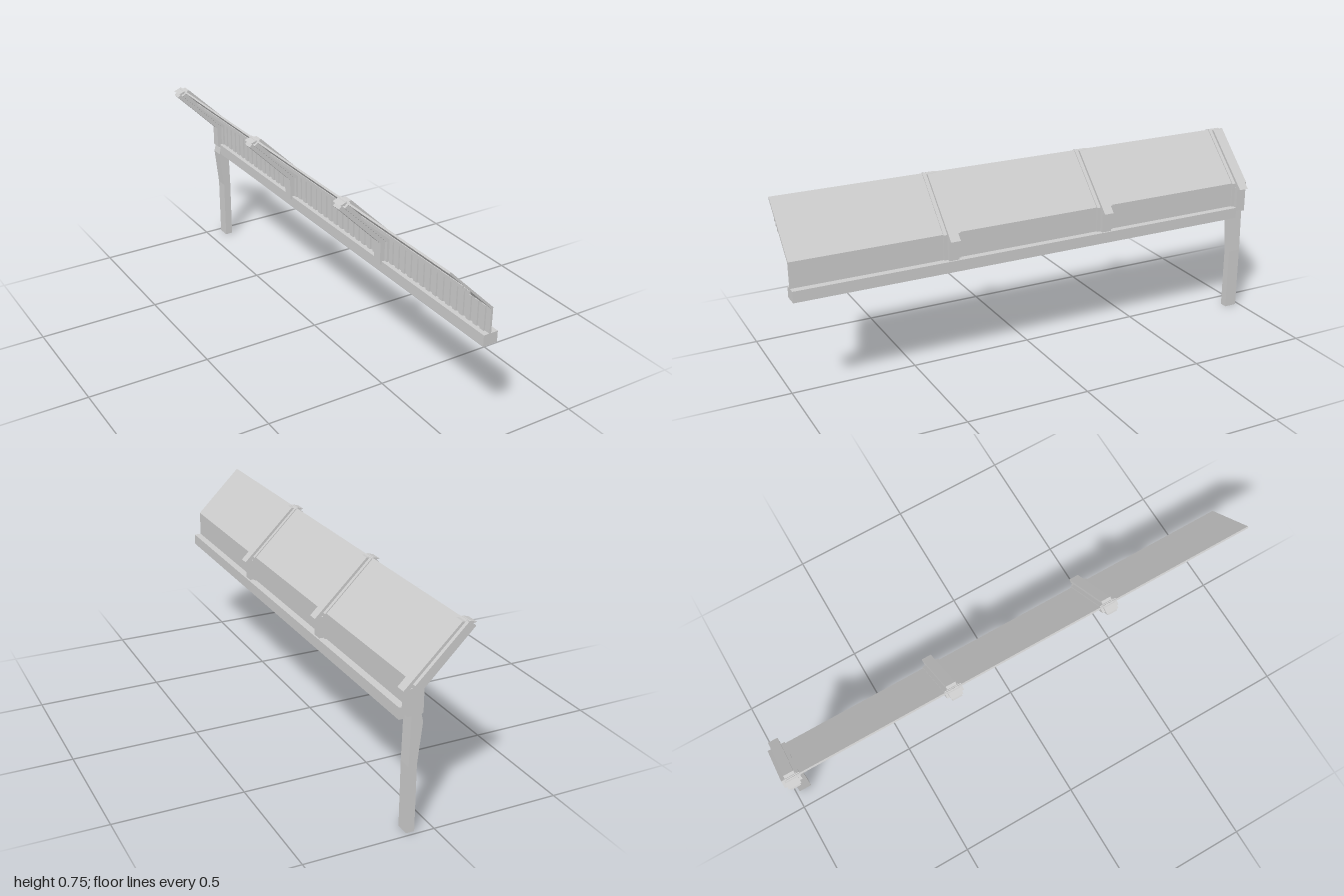
import * as THREE from 'three';

const material = new THREE.MeshStandardMaterial({ color: 0xcccccc, flatShading: true });

// Extrude an x-y profile along z between z0 and z1
function prism(name, points, z0, z1) {
  const shape = new THREE.Shape(points.map(([x, y]) => new THREE.Vector2(x, y)));
  const geometry = new THREE.ExtrudeGeometry(shape, { depth: z1 - z0, bevelEnabled: false });
  geometry.translate(0, 0, z0);
  const mesh = new THREE.Mesh(geometry, material);
  mesh.name = name;
  return mesh;
}

function box(name, x0, x1, y0, y1, z0, z1) {
  const mesh = new THREE.Mesh(new THREE.BoxGeometry(x1 - x0, y1 - y0, z1 - z0), material);
  mesh.position.set((x0 + x1) / 2, (y0 + y1) / 2, (z0 + z1) / 2);
  mesh.name = name;
  return mesh;
}

// Bent rib: inner rafter, wide clamping flange, outer upright and sloping cap
function createFrame(z) {
  const frame = new THREE.Group();
  frame.name = 'frame';
  frame.add(
    prism('rafter', [
      [0.06, 0.45], [0.09, 0.45], [0.09, 0.568], [-0.1, 0.755], [-0.112, 0.751],
      [-0.133, 0.73], [0.053, 0.543], [0.053, 0.455],
    ], z - 0.02, z + 0.02),
    prism('flange', [
      [0.073, 0.437], [0.097, 0.437], [0.097, 0.566], [-0.094, 0.755], [-0.118, 0.738],
      [0.073, 0.549],
    ], z - 0.035, z + 0.035),
    box('outerUpright', 0.095, 0.113, 0.45, 0.55, z - 0.02, z + 0.02),
    prism('cap', [
      [0.113, 0.543], [0.132, 0.547], [-0.08, 0.755], [-0.102, 0.751],
    ], z - 0.02, z + 0.02),
    prism('capEnd', [
      [-0.132, 0.746], [-0.112, 0.742], [-0.09, 0.752], [-0.108, 0.754],
    ], z - 0.025, z + 0.025),
  );
  return frame;
}

export function createModel() {
  const model = new THREE.Group();
  const frames = [-0.965, -0.302, 0.367];

  // Long base beam
  model.add(box('beam', 0.06, 0.12, 0.42, 0.465, -0.94, 1));

  // Wall and sloping roof folded from one thin sheet
  model.add(prism('roofSheet', [
    [0.083, 0.435], [0.091, 0.435], [0.091, 0.567], [-0.099, 0.755], [-0.104, 0.749],
    [0.083, 0.563],
  ], -0.95, 1));

  // Ribs
  frames.forEach((z) => model.add(createFrame(z)));

  // Vertical slats lining the wall between ribs
  const ends = [...frames, 1.02];
  for (let bay = 0; bay < 3; bay++) {
    const start = ends[bay] + 0.035;
    const pitch = (ends[bay + 1] - 0.035 - start) / 15;
    for (let i = 0; i < 15; i++) {
      const z = start + (i + 0.5) * pitch;
      model.add(box('wallSlat', 0.077, 0.084, 0.46, 0.565, z - pitch * 0.27, z + pitch * 0.27));
    }
  }

  // Thin rails running under the roof
  for (const x of [-0.045, -0.03, -0.015]) {
    const y = 0.637 - x;
    model.add(box('roofRail', x - 0.003, x + 0.003, y - 0.003, y + 0.008, -0.95, 1));
  }

  // End post, widening inward toward the top
  model.add(prism('post', [
    [0.07, 0], [0.102, 0], [0.102, 0.26], [0.098, 0.45], [0.06, 0.45], [0.053, 0.42], [0.07, 0.26],
  ], -0.985, -0.932));

  return model;
}
